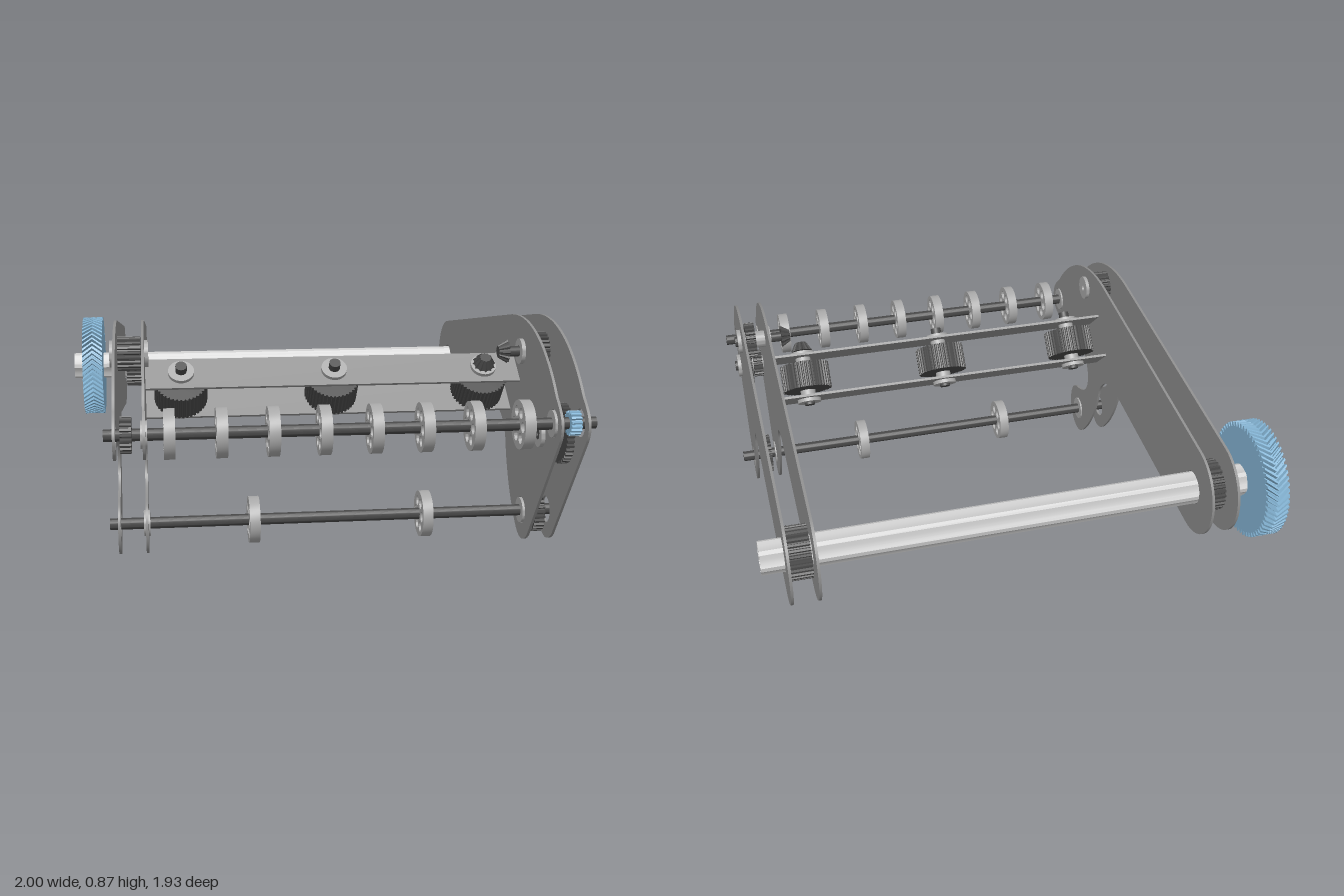
import * as THREE from 'three';
import { toCreasedNormals } from 'three/addons/utils/BufferGeometryUtils.js';

const material = (color) => new THREE.MeshStandardMaterial({ color });
const light = material(0xcccccc), grey = material(0xa8a8a8), plateGrey = material(0x8e8e8e);
const dark = material(0x484848), blue = material(0x86b6d6);

// Axle positions as [y, z]
const REAR = [0.517, -0.738], FRONT = [0.54, 0.877], LOWER = [0.115, 0.533];
const DRIVE = [0.742, 0.472], IDLER = [0.473, 0.745], LEFT_IDLER = [0.77, 0.525];

const circle = (r, x = 0, y = 0) => new THREE.Path().absarc(x, y, r, 0, Math.PI * 2, false);
const ring = (r, hole) => {
  const s = new THREE.Shape().absarc(0, 0, r, 0, Math.PI * 2, false);
  if (hole) s.holes.push(circle(hole));
  return s;
};

// Extrudes a (z, y) shape along x, centred; twist shears the middle for herringbone teeth
function extrudeX(shape, width, twist = 0) {
  const g = new THREE.ExtrudeGeometry(shape, { depth: width, steps: twist ? 2 : 1, bevelEnabled: false, curveSegments: 18 });
  g.translate(0, 0, -width / 2);
  if (twist) {
    const p = g.attributes.position;
    for (let i = 0; i < p.count; i++) {
      const a = twist * (1 - Math.abs(p.getZ(i)) * 2 / width);
      const x = p.getX(i), y = p.getY(i), c = Math.cos(a), s = Math.sin(a);
      p.setXY(i, x * c - y * s, x * s + y * c);
    }
  }
  g.rotateY(-Math.PI / 2);
  return toCreasedNormals(g, 0.4);
}

function gearShape(r, teeth, depth, hole) {
  const pts = [];
  for (let i = 0; i < teeth; i++) {
    for (const [f, d] of [[0, depth], [0.25, depth], [0.42, 0], [0.8, 0]]) {
      const a = (i + f) / teeth * Math.PI * 2;
      pts.push(new THREE.Vector2(Math.cos(a) * (r - d), Math.sin(a) * (r - d)));
    }
  }
  const s = new THREE.Shape(pts);
  s.holes.push(circle(hole));
  return s;
}

// Star outline with n lobes between two radii
function lobes(n, rOut, rIn) {
  const pts = [];
  for (let i = 0; i < n * 4; i++) {
    const a = i / (n * 4) * Math.PI * 2;
    const r = i % 4 < 2 ? rOut : rIn;
    pts.push(new THREE.Vector2(Math.cos(a) * r, Math.sin(a) * r));
  }
  return pts;
}

// Side plate outline; the notched version has two fingers at the front
function plateShape(notched) {
  const s = new THREE.Shape();
  s.moveTo(-0.765, 0.698);
  s.lineTo(0.32, 0.868);
  s.bezierCurveTo(0.55, 0.9, 0.75, 0.81, 0.89, 0.64);
  s.bezierCurveTo(0.97, 0.58, 0.985, 0.54, 0.95, 0.485);
  if (notched) {
    s.quadraticCurveTo(0.91, 0.44, 0.85, 0.46);
    s.bezierCurveTo(0.68, 0.53, 0.47, 0.49, 0.43, 0.35);
    s.bezierCurveTo(0.42, 0.26, 0.5, 0.23, 0.57, 0.215);
    s.bezierCurveTo(0.65, 0.2, 0.67, 0.1, 0.615, 0.035);
  } else s.lineTo(0.615, 0.035);
  s.quadraticCurveTo(0.535, -0.035, 0.46, 0.035);
  s.bezierCurveTo(0.37, 0.12, 0.31, 0.24, 0.285, 0.35);
  s.bezierCurveTo(0.26, 0.42, 0.18, 0.475, 0.08, 0.458);
  s.lineTo(-0.711, 0.336);
  s.absarc(REAR[1], REAR[0], 0.183, -1.42, -4.56, true);
  s.holes.push(circle(0.066, REAR[1], REAR[0]));
  for (const [y, z] of [FRONT, LOWER]) s.holes.push(circle(0.052, z, y));
  return s;
}

export function createModel() {
  const model = new THREE.Group();
  const add = (name, geo, mat, x, [y, z], parent = model) => {
    const m = new THREE.Mesh(geo, mat);
    m.name = name;
    m.position.set(x, y, z);
    parent.add(m);
    return m;
  };

  // Side plates
  for (const [x, notched] of [[-0.77, true], [-0.667, true], [0.81, false], [0.91, false]])
    add('sidePlate', extrudeX(plateShape(notched), 0.01), plateGrey, x, [0, 0]);

  // Fluted hollow main shaft with pulleys and the large herringbone gear
  const fluted = new THREE.Shape(lobes(6, 0.063, 0.055));
  fluted.holes.push(new THREE.Path(lobes(6, 0.052, 0.037)));
  add('mainShaft', extrudeX(fluted, 2), light, 0, REAR);
  add('largeGear', extrudeX(gearShape(0.228, 60, 0.018, 0.06), 0.09, 0.16), blue, -0.91, REAR);
  for (const x of [-0.718, 0.86])
    add('mainPulley', extrudeX(gearShape(0.1, 30, 0.008, 0.058), 0.08), dark, x, REAR);

  // Front and lower roller shafts
  const shaftGeo = extrudeX(ring(0.022, 0.009), 1.77);
  const rollerShape = ring(0.09, 0.02);
  for (let i = 0; i < 6; i++) {
    const a = i / 6 * Math.PI * 2;
    rollerShape.holes.push(circle(0.02, Math.cos(a) * 0.053, Math.sin(a) * 0.053));
  }
  const rollerGeo = extrudeX(rollerShape, 0.04);
  const collarGeo = extrudeX(ring(0.05, 0.02), 0.024);
  for (const axle of [FRONT, LOWER]) {
    add('rollerShaft', shaftGeo, dark, 0.077, axle);
    for (const x of [-0.668, 0.808]) add('bearing', collarGeo, grey, x, axle);
  }
  for (let i = 0; i < 8; i++) add('frontRoller', rollerGeo, grey, -0.58 + i * 0.182, FRONT);
  for (const x of [-0.26, 0.41]) add('lowerRoller', rollerGeo, grey, x, LOWER);
  add('frontPulley', extrudeX(gearShape(0.065, 20, 0.007, 0.02), 0.04), dark, -0.73, FRONT);
  add('frontPinion', extrudeX(gearShape(0.046, 16, 0.009, 0.02), 0.04), blue, 0.88, FRONT);
  add('lowerGear', extrudeX(gearShape(0.086, 26, 0.011, 0.02), 0.04), dark, 0.857, LOWER);

  // Left belt idler with flanged bushings
  add('leftIdlerPulley', extrudeX(gearShape(0.064, 20, 0.006, 0.02), 0.085), dark, -0.718, LEFT_IDLER);
  for (const x of [-0.78, -0.658])
    add('idlerFlange', extrudeX(ring(0.05, 0.013), 0.02), grey, x, LEFT_IDLER);

  // Right gear train: stub axles, hubs and gears
  for (const axle of [DRIVE, IDLER]) {
    add('stubAxle', extrudeX(ring(0.022, 0.009), 0.15), dark, 0.865, axle);
    for (const x of [0.802, 0.918]) add('stubFlange', extrudeX(ring(0.05, 0.02), 0.024), grey, x, axle);
    add('hub', extrudeX(ring(0.035, 0.02), 0.09), grey, 0.86, axle);
  }
  add('driveGear', extrudeX(gearShape(0.075, 24, 0.01, 0.03), 0.04), dark, 0.875, DRIVE);
  add('idlerGear', extrudeX(gearShape(0.115, 36, 0.011, 0.03), 0.028), dark, 0.882, IDLER);
  add('idlerPulley', extrudeX(gearShape(0.06, 20, 0.007, 0.03), 0.04), dark, 0.84, IDLER);
  add('bevelShaft', extrudeX(ring(0.02), 0.08), dark, 0.77, DRIVE);

  // Bevel gear: ribbed cone, its narrow end along +y
  const bevelGeo = new THREE.CylinderGeometry(0.024, 0.046, 0.038, 48, 1);
  const bp = bevelGeo.attributes.position;
  for (let i = 0; i < bp.count; i++) {
    const a = Math.atan2(bp.getX(i), bp.getZ(i));
    const k = Math.cos(a * 12) > 0.5 ? 1 : 0.86;
    bp.setX(i, bp.getX(i) * k);
    bp.setZ(i, bp.getZ(i) * k);
  }
  const bevel = toCreasedNormals(bevelGeo, 0.3);
  add('driveBevel', bevel, dark, 0.726, DRIVE).rotation.z = Math.PI / 2;

  // Tilted cross bars with drive wheels held between them
  const tilted = new THREE.Group();
  tilted.name = 'wheelCarrier';
  tilted.position.set(0, 0.598, 0.342);
  tilted.rotation.x = 0.707;
  model.add(tilted);
  const barGeo = new THREE.BoxGeometry(1.475, 0.01, 0.145);
  const turn = (g) => g.rotateZ(Math.PI / 2);
  const wheelGeo = turn(extrudeX(gearShape(0.104, 40, 0.006, 0.02), 0.11));
  const flangeGeo = new THREE.CylinderGeometry(0.05, 0.05, 0.016, 32);
  const bushGeo = new THREE.CylinderGeometry(0.032, 0.032, 0.03, 32);
  const axleGeo = new THREE.CylinderGeometry(0.022, 0.022, 0.26, 24);
  for (const s of [-1, 1]) add('crossBar', barGeo, plateGrey, 0.072, [s * 0.09, 0], tilted);
  for (const x of [-0.525, 0.07, 0.667]) {
    add('driveWheel', wheelGeo, dark, x, [0, 0], tilted);
    add('wheelAxle', axleGeo, dark, x, [0.01, 0], tilted);
    for (const s of [-1, 1]) {
      add('wheelFlange', flangeGeo, grey, x, [s * 0.102, 0], tilted);
      add('wheelBush', bushGeo, grey, x, [s * 0.072, 0], tilted);
    }
  }
  add('wheelBevel', bevel, dark, 0.667, [0.135, 0], tilted);

  return model;
}
